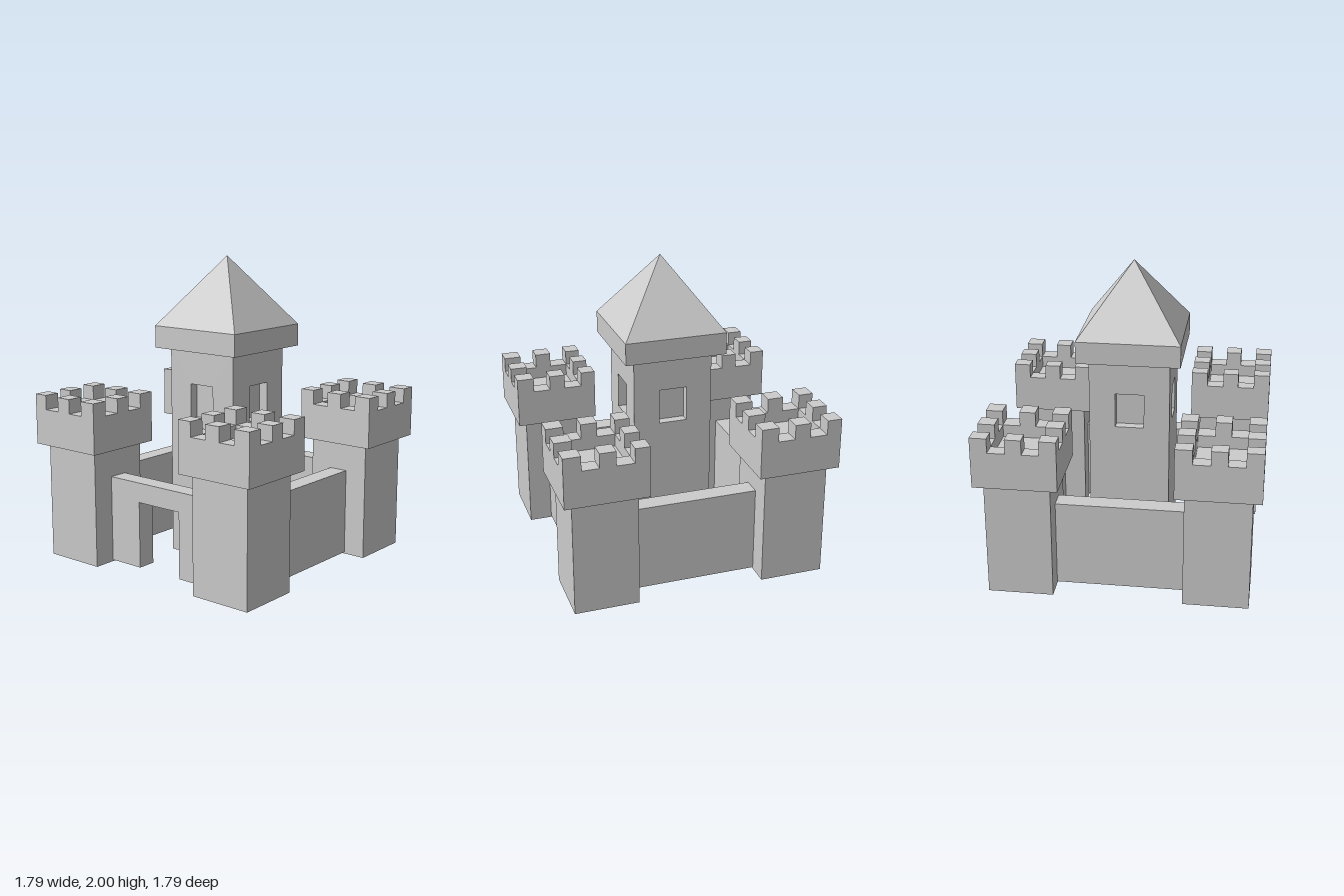
import * as THREE from 'three';

const material = new THREE.MeshStandardMaterial({ color: 0xcccccc, flatShading: true });

function add(parent, name, geometry) {
  const mesh = new THREE.Mesh(geometry, material);
  mesh.name = name;
  parent.add(mesh);
  return mesh;
}

// Box given by its lower and upper limits on each axis
function block(parent, name, [x0, x1], [y0, y1], [z0, z1]) {
  const mesh = add(parent, name, new THREE.BoxGeometry(x1 - x0, y1 - y0, z1 - z0));
  mesh.position.set((x0 + x1) / 2, (y0 + y1) / 2, (z0 + z1) / 2);
  return mesh;
}

function rectangle(Type, x0, x1, y0, y1) {
  return new Type().moveTo(x0, y0).lineTo(x1, y0).lineTo(x1, y1).lineTo(x0, y1).closePath();
}

function extrude(shape, depth) {
  return new THREE.ExtrudeGeometry(shape, { depth, bevelEnabled: false });
}

// Corner tower: shaft, overhanging battlement with a sunken floor, eight merlons
function cornerTower(name) {
  const tower = new THREE.Group();
  tower.name = name;
  block(tower, 'towerShaft', [-0.21, 0.21], [0, 0.77], [-0.21, 0.21]);
  block(tower, 'battlementFloor', [-0.268, 0.268], [0.77, 0.93], [-0.268, 0.268]);

  const ring = rectangle(THREE.Shape, -0.268, 0.268, -0.268, 0.268);
  ring.holes.push(rectangle(THREE.Path, -0.172, 0.156, -0.16, 0.16));
  const parapet = add(tower, 'parapet', extrude(ring, 0.08).rotateX(-Math.PI / 2));
  parapet.position.y = 0.93;

  const spansX = [[-0.268, -0.172], [-0.058, 0.046], [0.156, 0.268]];
  const spansZ = [[-0.268, -0.16], [-0.05, 0.053], [0.16, 0.268]];
  spansX.forEach((sx, i) => spansZ.forEach((sz, j) => {
    if (i !== 1 || j !== 1) block(tower, 'merlon', sx, [1.01, 1.105], sz);
  }));
  return tower;
}

// Central keep: core, four outer panels with recessed windows, collar and roof
function centralKeep() {
  const keep = new THREE.Group();
  keep.name = 'keep';
  block(keep, 'keepCore', [-0.2, 0.2], [0.01, 1.4], [-0.2, 0.2]);
  for (let i = 0; i < 4; i++) {
    const half = i % 2 ? 0.2 : 0.262;
    const panel = rectangle(THREE.Shape, -half, half, 0.01, 1.4);
    panel.holes.push(rectangle(THREE.Path, -0.092, 0.095, 0.945, 1.175));
    const geometry = extrude(panel, 0.062).translate(0, 0, 0.2).rotateY(i * Math.PI / 2);
    add(keep, 'windowWall', geometry);
  }
  block(keep, 'keepCollar', [-0.335, 0.335], [1.4, 1.545], [-0.335, 0.335]);
  const roof = add(keep, 'roof', new THREE.ConeGeometry(0.335 * Math.SQRT2, 0.455, 4).rotateY(Math.PI / 4));
  roof.position.y = 1.545 + 0.455 / 2;
  return keep;
}

export function createModel() {
  const castle = new THREE.Group();
  castle.name = 'castle';

  // Four corner towers
  for (const x of [-0.627, 0.623]) {
    for (const z of [-0.627, 0.623]) {
      const tower = cornerTower(`${z > 0 ? 'front' : 'back'}${x > 0 ? 'Left' : 'Right'}Tower`);
      tower.position.set(x, 0, z);
      castle.add(tower);
    }
  }

  // Curtain walls on the back and sides
  const long = [-0.417, 0.413], height = [0.01, 0.58];
  block(castle, 'backWall', long, height, [-0.69, -0.565]);
  block(castle, 'rightWall', [-0.69, -0.565], height, long);
  block(castle, 'leftWall', [0.56, 0.685], height, long);

  // Front wall with the gateway cut out
  const gate = new THREE.Shape([
    [-0.417, 0.01], [-0.17, 0.01], [-0.17, 0.45], [0.17, 0.45],
    [0.17, 0.01], [0.413, 0.01], [0.413, 0.58], [-0.417, 0.58],
  ].map(([x, y]) => new THREE.Vector2(x, y)));
  add(castle, 'gateWall', extrude(gate, 0.125)).position.z = 0.56;

  castle.add(centralKeep());
  return castle;
}
